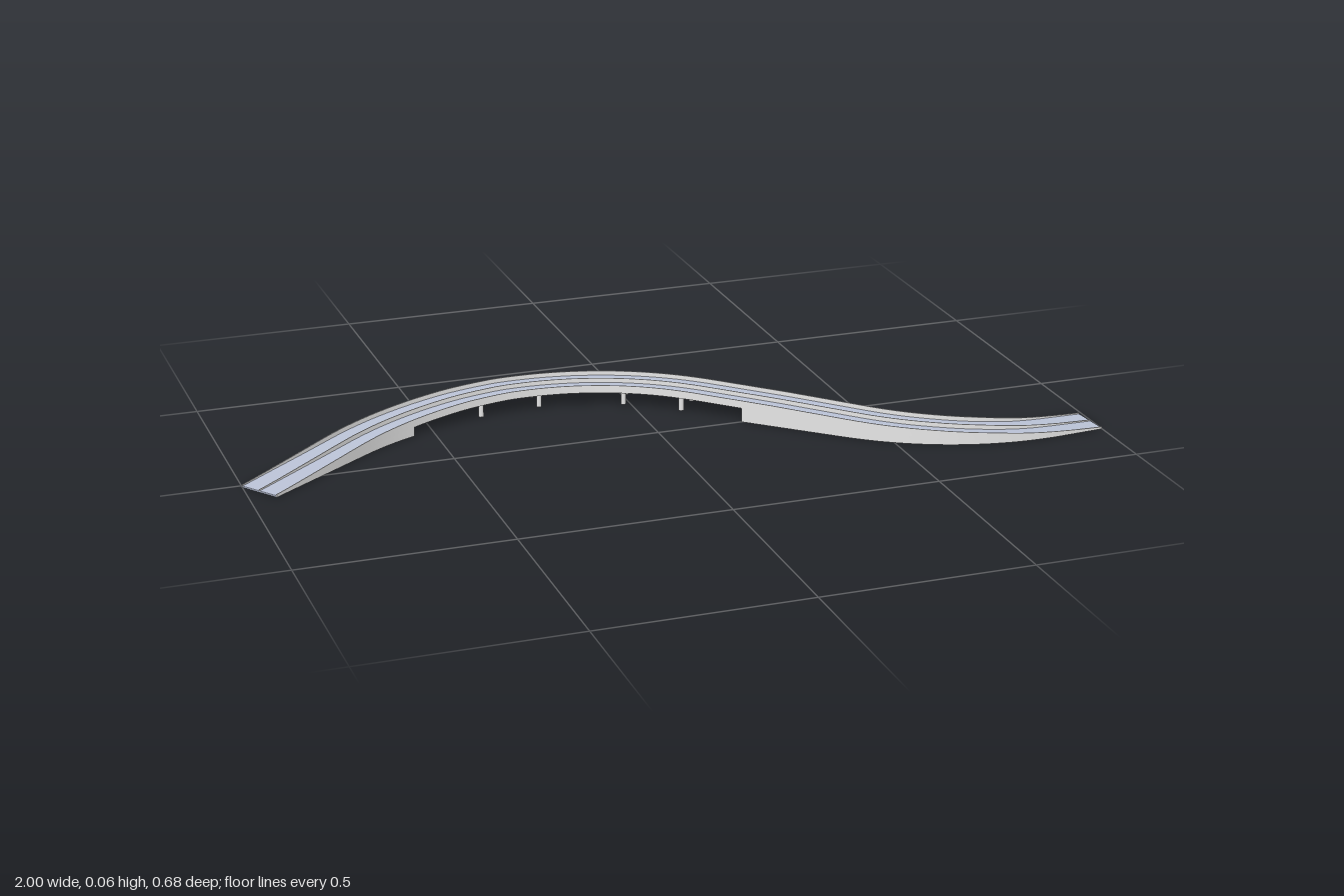
import * as THREE from 'three';

const asphalt = new THREE.MeshStandardMaterial({ color: 0xbbc3d7 });
asphalt.name = 'asphalt';
const concrete = new THREE.MeshStandardMaterial({ color: 0xe6e6e6 });
concrete.name = 'concrete';

const DEG = Math.PI / 180;
const HALF = 0.052;      // half width of the whole deck
const THICK = 0.008;     // deck thickness

// Plan of the road: straights and bends as [length, turn in degrees]
const START = { x: -0.97, z: 0.052, h: -36 * DEG };
const SECTIONS = [
  [0.315, 0], [0.80 * 36 * DEG, 36], [0.56 * 42 * DEG, 42],
  [0.415, 0], [0.59 * 47 * DEG, -47], [0.111, 0],
];

function makeStations() {
  let { x, z, h } = START;
  const list = [{ x, z, h }];
  for (const [length, turn] of SECTIONS) {
    const n = Math.ceil(length / 0.025);
    for (let i = 0; i < n; i++) {
      const dh = turn * DEG / n;
      x += Math.cos(h + dh / 2) * length / n;
      z += Math.sin(h + dh / 2) * length / n;
      h += dh;
      list.push({ x, z, h });
    }
  }
  return list;
}
const stations = makeStations();

// Station at a given x, between its neighbours
function at(x) {
  const i = Math.max(1, stations.findIndex((s) => s.x >= x));
  const a = stations[i - 1], b = stations[i];
  const t = (x - a.x) / (b.x - a.x);
  const mix = (k) => a[k] + (b[k] - a[k]) * t;
  return { x, z: mix('z'), h: mix('h') };
}

// Height profile of the road surface
const PROFILE = [
  [-1, 0.002], [-0.8, 0.014], [-0.6, 0.028], [-0.42, 0.040], [-0.3, 0.045],
  [0.15, 0.045], [0.3, 0.041], [0.45, 0.034], [0.6, 0.025], [0.8, 0.011], [1, 0.002],
];
function roadTop(x) {
  let i = 1;
  while (i < PROFILE.length - 1 && PROFILE[i][0] < x) i++;
  const [x0, y0] = PROFILE[i - 1], [x1, y1] = PROFILE[i];
  return THREE.MathUtils.lerp(y0, y1, THREE.MathUtils.clamp((x - x0) / (x1 - x0), 0, 1));
}
const roadBottom = (x) => Math.max(0, roadTop(x) - THICK);
const railTop = (x) =>
  roadTop(x) + 0.003 + 0.008 * THREE.MathUtils.smoothstep(0.99 - Math.abs(x), 0, 0.3);
const ground = () => 0;

// Rectangular bar swept along the road, from side offset o0 to o1
function sweep(name, material, path, o0, o1, low, high) {
  const pos = [], idx = [];
  const rings = path.map((s) => {
    const y0 = low(s.x), y1 = Math.max(high(s.x), y0 + 0.0005);
    return [[o0, y0], [o1, y0], [o1, y1], [o0, y1]].map(
      ([o, y]) => [s.x - Math.sin(s.h) * o, y, s.z + Math.cos(s.h) * o]);
  });
  for (let k = 0; k < 4; k++) {
    const base = pos.length / 3;
    rings.forEach((r) => pos.push(...r[k], ...r[(k + 1) % 4]));
    for (let i = 0; i < rings.length - 1; i++) {
      const a = base + i * 2, b = a + 1, d = a + 2, c = a + 3;
      idx.push(a, d, b, d, c, b);
    }
  }
  // End caps
  [rings[0], [...rings[rings.length - 1]].reverse()].forEach((r) => {
    const b = pos.length / 3;
    r.forEach((p) => pos.push(...p));
    idx.push(b, b + 1, b + 2, b, b + 2, b + 3);
  });
  const geo = new THREE.BufferGeometry();
  geo.setAttribute('position', new THREE.Float32BufferAttribute(pos, 3));
  geo.setIndex(idx);
  geo.computeVertexNormals();
  const mesh = new THREE.Mesh(geo, material);
  mesh.name = name;
  return mesh;
}

export function createModel() {
  const model = new THREE.Group();
  model.name = 'curvedBridge';

  // Road deck with centre divider
  model.add(sweep('roadDeck', asphalt, stations, -0.05, 0.05, roadBottom, roadTop));
  model.add(sweep('centreDivider', concrete, stations, -0.001, 0.001, roadTop, railTop));

  // Side parapets, from the underside of the deck to the top of the rail
  model.add(sweep('backParapet', concrete, stations, -HALF, -0.05, roadBottom, railTop));
  model.add(sweep('frontParapet', concrete, stations, 0.05, HALF, roadBottom, railTop));

  // Ramp walls at both ends, open underneath and closed by a cross wall
  const ramps = [
    ['leftRamp', [at(0.245), ...stations.filter((s) => s.x > 0.25)], 0.245],
    ['rightRamp', [...stations.filter((s) => s.x < -0.575), at(-0.57)], -0.574],
  ];
  for (const [name, path, endX] of ramps) {
    const ramp = new THREE.Group();
    ramp.name = name;
    ramp.add(sweep('backWall', concrete, path, -HALF, -0.049, ground, roadBottom));
    ramp.add(sweep('frontWall', concrete, path, 0.049, HALF, ground, roadBottom));
    ramp.add(sweep('crossWall', concrete, [at(endX), at(endX + 0.004)], -0.049, 0.049, ground, roadBottom));
    model.add(ramp);
  }

  // Pairs of round columns under the raised middle: [x, base height]
  for (const [x, base] of [[-0.37, 0], [-0.215, 0.004], [-0.004, 0.004], [0.124, 0.001]]) {
    const s = at(x), top = roadBottom(x) + 0.001;
    for (const o of [-0.035, 0.035]) {
      const column = new THREE.Mesh(
        new THREE.CylinderGeometry(0.0063, 0.0063, top - base, 12), concrete);
      column.name = 'column';
      column.position.set(x - Math.sin(s.h) * o, (top + base) / 2, s.z + Math.cos(s.h) * o);
      model.add(column);
    }
  }
  return model;
}
